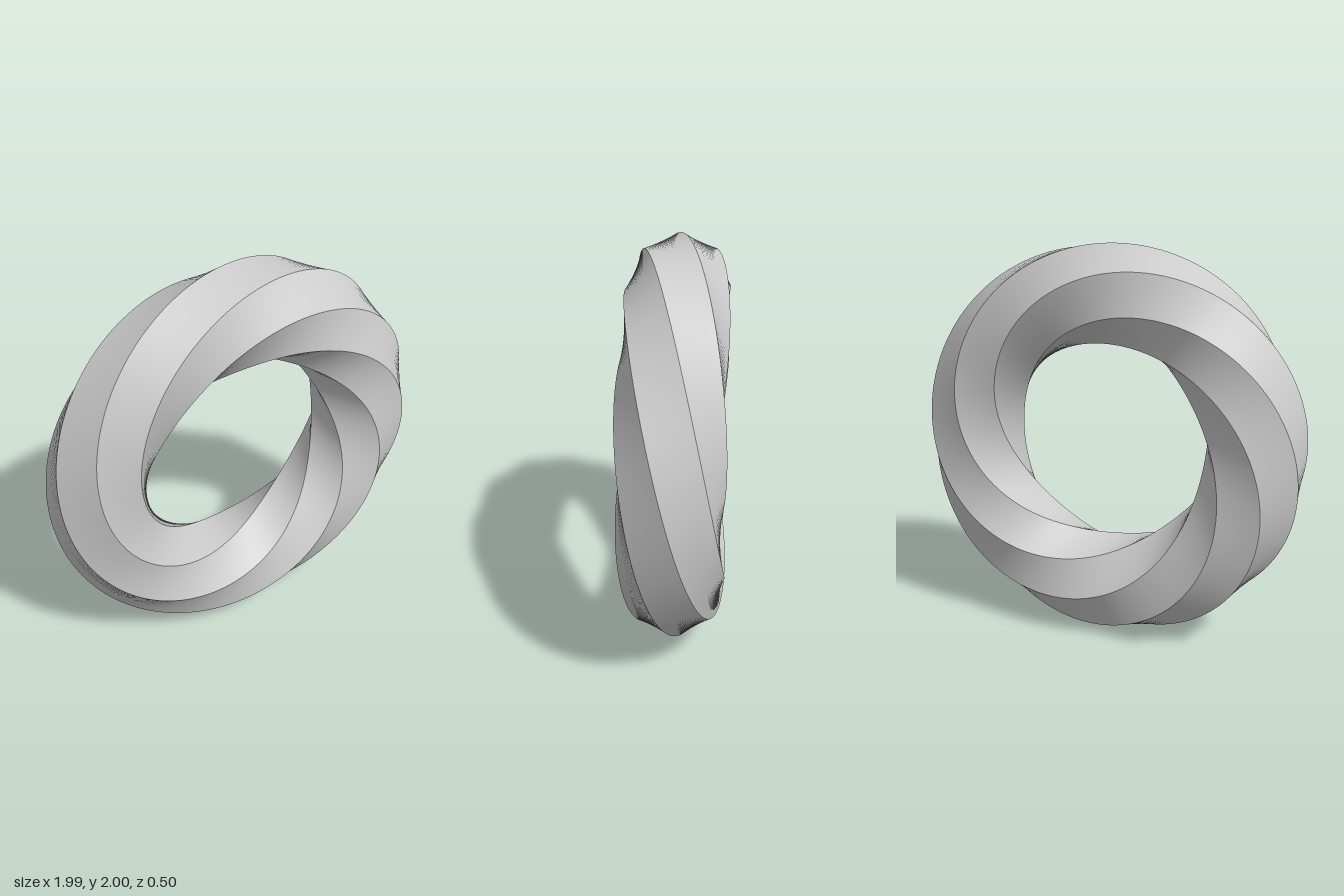
import * as THREE from 'three';

const SIDES = 7;          // corners of the cross-section
const STEPS = 240;        // segments around the ring
const RING = 0.757;       // ring radius
const TUBE = 0.248;       // cross-section radius

// Corner of the polygon section, which makes one full turn around the ring
function corner(step, side) {
  const theta = (step / STEPS) * Math.PI * 2;
  const phi = theta + (side / SIDES) * Math.PI * 2;
  const r = RING + TUBE * Math.cos(phi);
  return [r * Math.cos(theta), r * Math.sin(theta), TUBE * Math.sin(phi)];
}

// One spiralling face: a closed band, smooth along its length, sharp at its edges
function bandGeometry(side) {
  const positions = [];
  const index = [];
  for (let i = 0; i < STEPS; i++) {
    positions.push(...corner(i, side), ...corner(i, side + 1));
    const a = i * 2;
    const b = ((i + 1) % STEPS) * 2;
    index.push(a, b, b + 1, a, b + 1, a + 1);
  }
  const geometry = new THREE.BufferGeometry();
  geometry.setAttribute('position', new THREE.Float32BufferAttribute(positions, 3));
  geometry.setIndex(index);
  geometry.computeVertexNormals();
  return geometry;
}

export function createModel() {
  const model = new THREE.Group();
  model.name = 'twistedRing';
  const material = new THREE.MeshStandardMaterial({ color: 0xcccccc });

  for (let side = 0; side < SIDES; side++) {
    const band = new THREE.Mesh(bandGeometry(side), material);
    band.name = `spiralFace${side + 1}`;
    model.add(band);
  }

  // Stand on the ground, centred
  const box = new THREE.Box3().setFromObject(model);
  const centre = box.getCenter(new THREE.Vector3());
  model.position.set(-centre.x, -box.min.y, -centre.z);
  return model;
}
